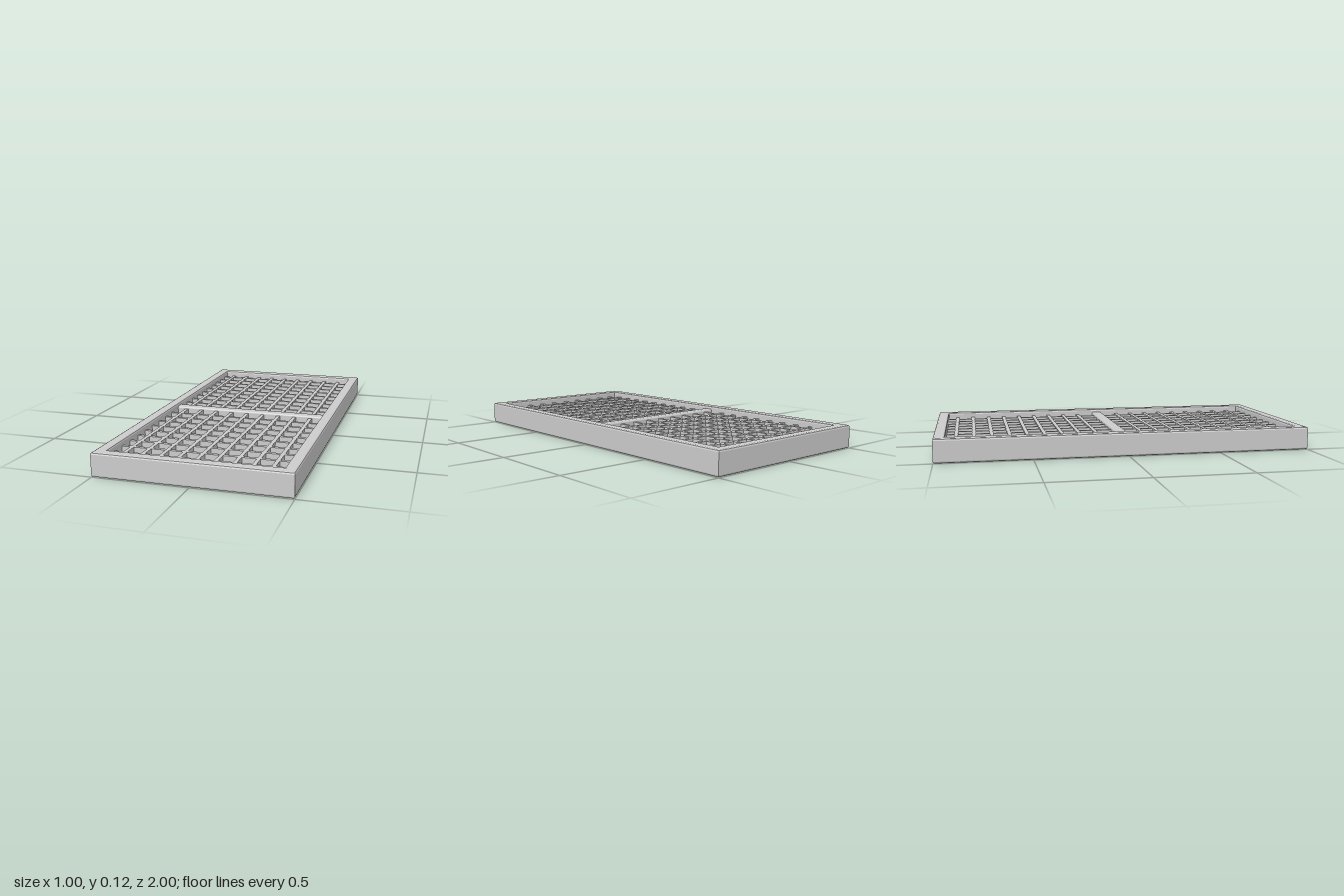
import * as THREE from 'three';
import { RoundedBoxGeometry } from 'three/addons/geometries/RoundedBoxGeometry.js';

const material = new THREE.MeshStandardMaterial({ color: 0xcccccc });

function part(name, geometry, x, y, z) {
  const mesh = new THREE.Mesh(geometry, material);
  mesh.name = name;
  mesh.position.set(x, y, z);
  return mesh;
}

function rectangle(path, x0, y0, x1, y1) {
  path.moveTo(x0, y0);
  path.lineTo(x1, y0);
  path.lineTo(x1, y1);
  path.lineTo(x0, y1);
  path.closePath();
  return path;
}

export function createModel() {
  const group = new THREE.Group();
  group.name = 'louverPanel';

  // Outer frame: bevelled rectangular ring, laid flat
  const height = 0.125, bevel = 0.01;
  const outline = rectangle(new THREE.Shape(), -0.5 + bevel, -1 + bevel, 0.5 - bevel, 1 - bevel);
  outline.holes.push(rectangle(new THREE.Path(), -0.44 - bevel, -0.94 - bevel, 0.44 + bevel, 0.94 + bevel));
  const frame = new THREE.ExtrudeGeometry(outline, {
    depth: height - 2 * bevel, bevelEnabled: true,
    bevelSize: bevel, bevelThickness: bevel, bevelSegments: 2,
  });
  frame.translate(0, 0, bevel).rotateX(-Math.PI / 2);
  group.add(part('frame', frame, 0, 0, 0));

  // Middle crossbar, set slightly below the rim
  group.add(part('crossbar', new RoundedBoxGeometry(0.9, 0.09, 0.06, 2, 0.01), 0, height / 2, -0.01));

  // Egg-crate grid of thin upright slats
  const pitch = 0.094, thickness = 0.02, depth = 0.065;
  const grid = new THREE.Group();
  grid.name = 'grid';
  const longSlat = new THREE.BoxGeometry(thickness, depth, 1.9);
  const crossSlat = new THREE.BoxGeometry(0.9, depth, thickness);
  for (let i = 0; i < 9; i++) {
    grid.add(part('longSlat', longSlat, -0.384 + i * pitch, height / 2, 0));
    grid.add(part('backCrossSlat', crossSlat, 0, height / 2, -0.888 + i * pitch));
    grid.add(part('frontCrossSlat', crossSlat, 0, height / 2, 0.115 + i * pitch));
  }
  group.add(grid);
  return group;
}
